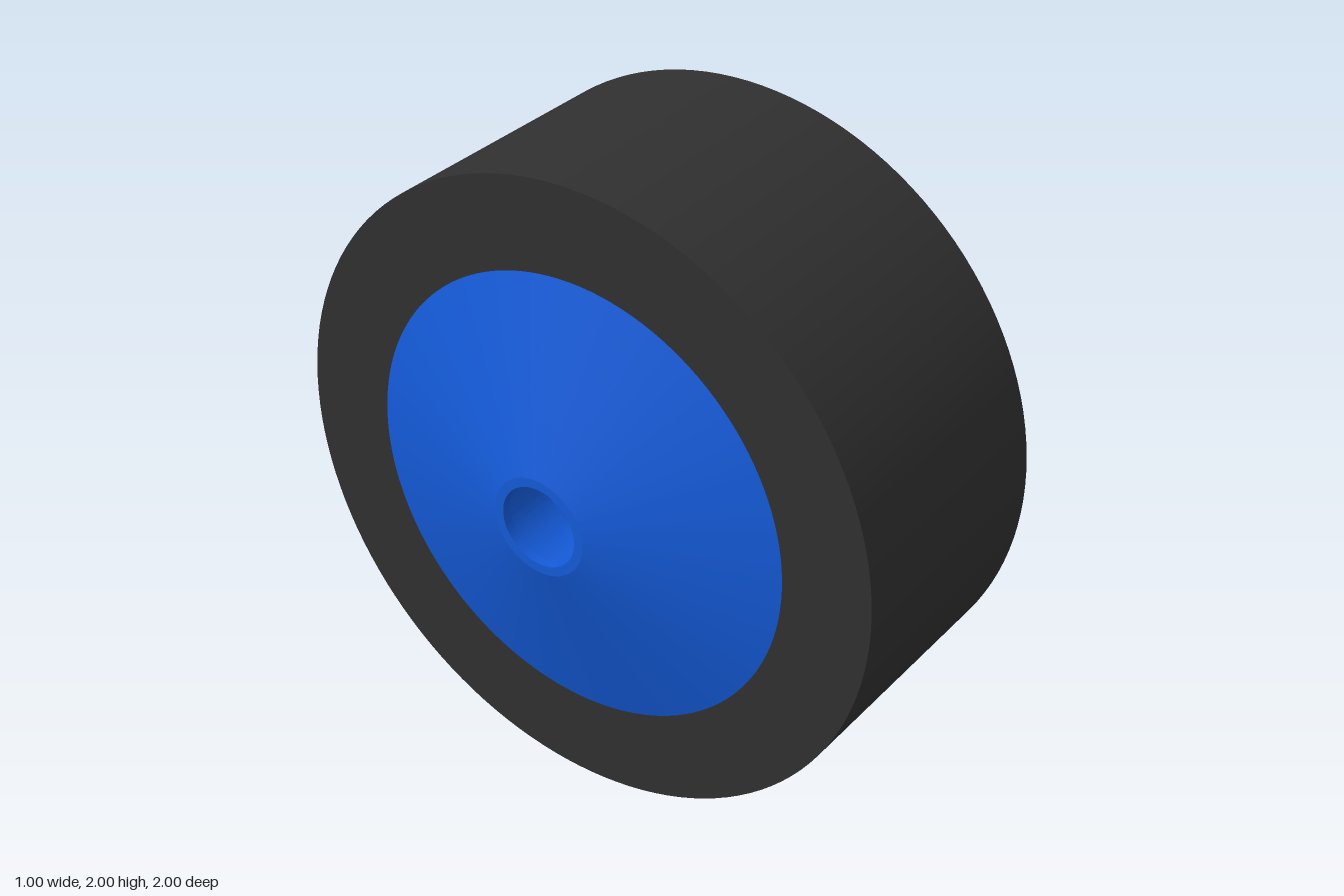
import * as THREE from 'three';
import { toCreasedNormals } from 'three/addons/utils/BufferGeometryUtils.js';

const SEGMENTS = 128;
const BORE = 0.715; // inner radius of the tyre, outer radius of the hub disc
const rubber = new THREE.MeshStandardMaterial({ color: 0x303030 });
const blue = new THREE.MeshStandardMaterial({ color: 0x145ad8 });

// Revolves a profile of [radius, x] points about the x axis
function revolve(name, profile, material, start = 0, sweep = Math.PI * 2) {
  const points = profile.map(([r, x]) => new THREE.Vector2(r, x));
  const segments = Math.round((SEGMENTS * sweep) / (Math.PI * 2));
  const lathe = new THREE.LatheGeometry(points, segments, start, sweep);
  const geometry = toCreasedNormals(lathe, 0.2);
  geometry.rotateZ(-Math.PI / 2);
  const mesh = new THREE.Mesh(geometry, material);
  mesh.name = name;
  return mesh;
}

export function createModel() {
  const wheel = new THREE.Group();
  wheel.name = 'wheel';

  // Square-edged tyre
  wheel.add(revolve('tyre', [
    [BORE, -0.335], [1, -0.335], [1, 0.5], [BORE, 0.5], [BORE, -0.335],
  ], rubber));

  // Conical hub disc with an axle bore and a narrow lip at its outer end
  wheel.add(revolve('hubDisc', [
    [0.128, -0.5], [0.157, -0.5], [BORE, -0.335], [BORE, -0.11],
    [0.165, -0.27], [0.165, -0.47], [0.128, -0.47], [0.128, -0.5],
  ], blue));

  // Blue lining on the rear half of the tyre's inner wall
  wheel.add(revolve('rimLining', [
    [BORE - 0.002, 0.499], [BORE - 0.002, -0.11],
  ], blue, Math.PI / 2, Math.PI));

  wheel.position.y = 1;
  const model = new THREE.Group();
  model.name = 'wheelModel';
  model.add(wheel);
  return model;
}
